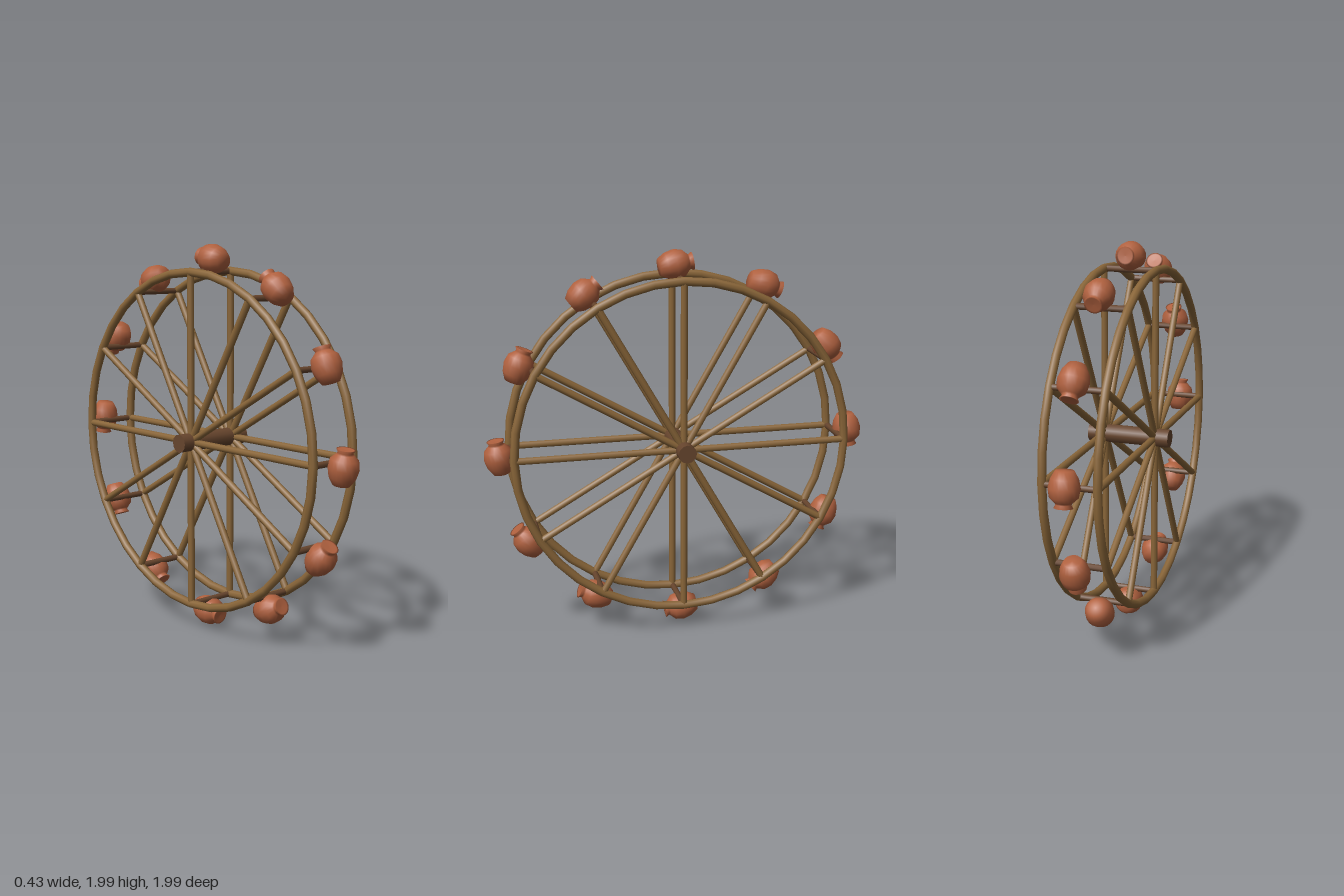
import * as THREE from 'three';

const COUNT = 12, RIM_RADIUS = 0.857, SIDE_X = 0.135, POT_RADIUS = 0.922;

export function createModel() {
  const wood = new THREE.MeshStandardMaterial({ color: 0x8a6639 });
  wood.name = 'wood';
  const darkWood = new THREE.MeshStandardMaterial({ color: 0x67452d });
  darkWood.name = 'dark wood';
  const clay = new THREE.MeshStandardMaterial({ color: 0xb0613f });
  clay.name = 'fired clay';

  const wheel = new THREE.Group();
  wheel.name = 'waterWheel';

  const add = (parent, name, geometry, material, x = 0, y = 0, z = 0) => {
    const mesh = new THREE.Mesh(geometry, material);
    mesh.name = name;
    mesh.position.set(x, y, z);
    parent.add(mesh);
    return mesh;
  };

  // Axle through both rims
  const axle = new THREE.CylinderGeometry(0.047, 0.047, 0.43, 12).rotateZ(Math.PI / 2);
  add(wheel, 'axle', axle, darkWood, 0, 1, 0);

  // Two rims
  const rim = new THREE.TorusGeometry(RIM_RADIUS, 0.022, 8, 36).rotateY(Math.PI / 2);
  for (const side of [-1, 1]) {
    add(wheel, side > 0 ? 'leftRim' : 'rightRim', rim, wood, side * SIDE_X, 1, 0);
  }

  const spoke = new THREE.CylinderGeometry(0.018, 0.018, RIM_RADIUS, 8);
  const crossbar = new THREE.CylinderGeometry(0.016, 0.016, 0.28, 8).rotateZ(Math.PI / 2);

  // Clay pot: rounded body, short neck, flared lip and a shallow mouth
  const profile = [
    [0, -0.093], [0.043, -0.092], [0.065, -0.055], [0.075, -0.01], [0.067, 0.032],
    [0.042, 0.056], [0.036, 0.064], [0.045, 0.08], [0.036, 0.079], [0, 0.077],
  ].map(([r, h]) => new THREE.Vector2(r, h));
  const potGeometry = new THREE.LatheGeometry(profile, 20);

  // One spoke pair, crossbar and pot per station around the wheel
  for (let i = 0; i < COUNT; i++) {
    const station = new THREE.Group();
    station.name = 'station' + (i + 1);
    station.position.y = 1;
    station.rotation.x = (i * Math.PI * 2) / COUNT;
    wheel.add(station);

    for (const side of [-1, 1]) {
      add(station, side > 0 ? 'leftSpoke' : 'rightSpoke', spoke, wood, side * SIDE_X, RIM_RADIUS / 2, 0);
    }
    add(station, 'crossbar', crossbar, darkWood, 0, RIM_RADIUS, 0);

    // Mouth follows the rim, tipped slightly outward
    const pot = add(station, 'pot', potGeometry, clay, 0, POT_RADIUS, 0.006);
    pot.rotation.x = -Math.PI / 2 + 0.15;
  }

  return wheel;
}
